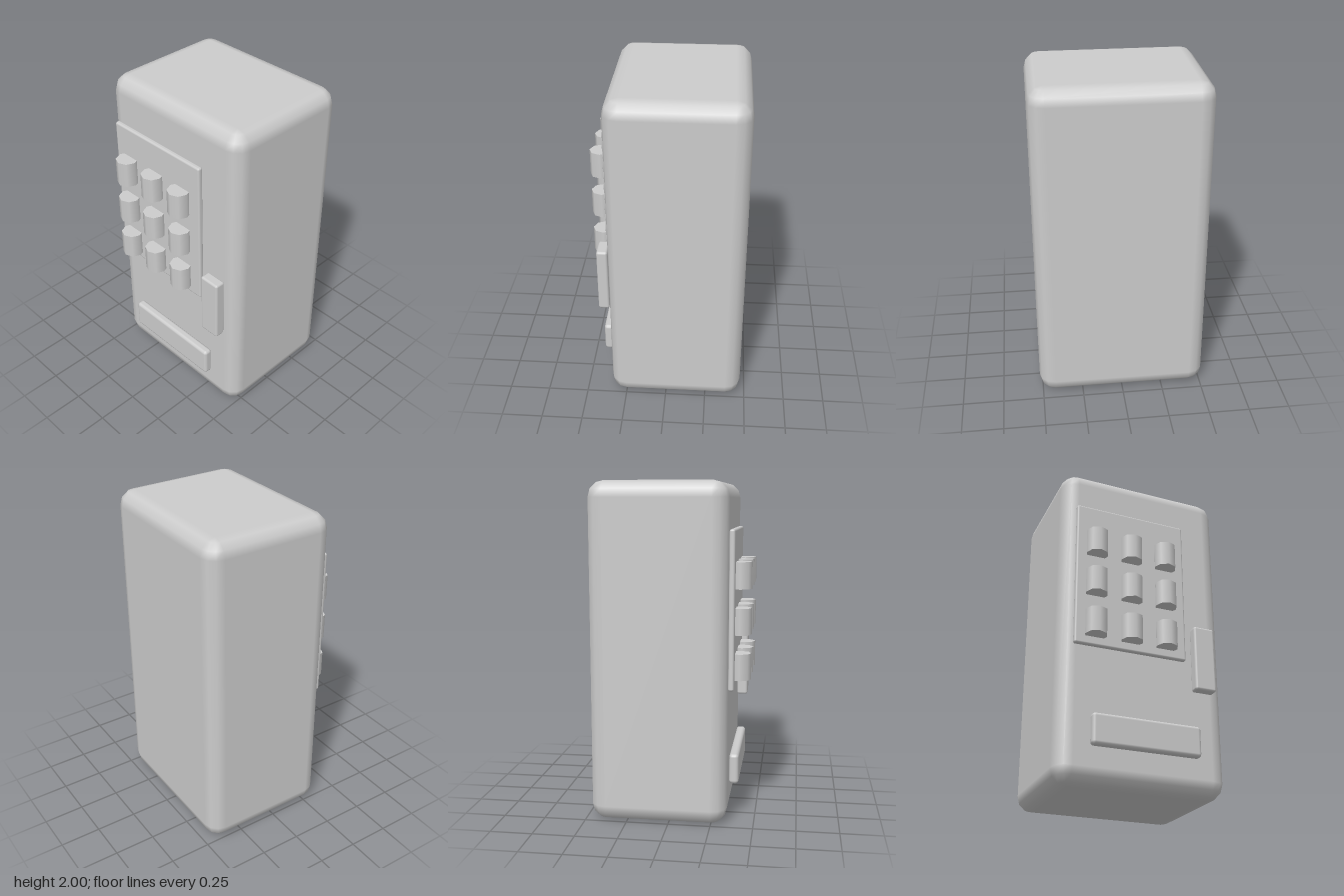
import * as THREE from 'three';

const grey = new THREE.MeshStandardMaterial({ color: 0xcccccc });
grey.name = 'grey';

// Box with rounded edges, given by its extents; three facets per rounded edge.
function roundedBox([x0, x1], [y0, y1], [z0, z1], r, seg = 3) {
  const hx = (x1 - x0) / 2 - r, hy = (y1 - y0) / 2 - r, hz = (z1 - z0) / 2 - r;
  const pos = [], nor = [], index = [];
  const n = 4 * (seg + 1), rows = 2 * (seg + 1);
  // horizontal loops from bottom to top, each made of four corner arcs
  for (let j = 0; j < rows; j++) {
    const upper = j > seg;
    const lat = (upper ? j - seg - 1 : j - seg) / seg * Math.PI / 2;
    for (let c = 0; c < 4; c++) {
      const sx = c === 0 || c === 3 ? 1 : -1, sz = c < 2 ? 1 : -1;
      for (let i = 0; i <= seg; i++) {
        const a = (c + i / seg) * Math.PI / 2;
        const nx = Math.cos(lat) * Math.cos(a), ny = Math.sin(lat), nz = Math.cos(lat) * Math.sin(a);
        nor.push(nx, ny, nz);
        pos.push(sx * hx + r * nx, (upper ? hy : -hy) + r * ny, sz * hz + r * nz);
      }
    }
  }
  for (let j = 0; j < rows - 1; j++) {
    for (let i = 0; i < n; i++) {
      const a = j * n + i, b = j * n + (i + 1) % n;
      index.push(a, a + n, b, b, a + n, b + n);
    }
  }
  // flat bottom and top
  const k = seg + 1, t = (rows - 1) * n;
  index.push(0, k, 2 * k, 0, 2 * k, 3 * k);
  index.push(t, t + 2 * k, t + k, t, t + 3 * k, t + 2 * k);
  const g = new THREE.BufferGeometry();
  g.setAttribute('position', new THREE.Float32BufferAttribute(pos, 3));
  g.setAttribute('normal', new THREE.Float32BufferAttribute(nor, 3));
  g.setIndex(index);
  g.translate((x0 + x1) / 2, (y0 + y1) / 2, (z0 + z1) / 2);
  return g;
}

export function createModel() {
  const model = new THREE.Group();
  model.name = 'vendingMachine';
  const add = (name, geometry, parent = model) => {
    const mesh = new THREE.Mesh(geometry, grey);
    mesh.name = name;
    parent.add(mesh);
    return mesh;
  };

  // Cabinet and the fittings on its front
  add('cabinet', roundedBox([-0.518, 0.518], [0, 2], [-0.47, 0.343], 0.095));
  add('displayPanel', roundedBox([-0.442, 0.26], [0.8, 1.727], [0.343, 0.376], 0.012));
  add('coinPanel', roundedBox([0.302, 0.435], [0.615, 1.022], [0.345, 0.412], 0.014));
  add('dispenserTray', roundedBox([-0.332, 0.328], [0.207, 0.39], [0.345, 0.402], 0.02));

  // Three rows of three cans
  const cans = new THREE.Group();
  cans.name = 'cans';
  model.add(cans);
  const canGeometry = new THREE.CylinderGeometry(0.067, 0.067, 0.156, 8);
  for (const y of [0.929, 1.195, 1.462]) {
    for (const x of [-0.321, -0.099, 0.123]) {
      add('can', canGeometry, cans).position.set(x, y, 0.402);
    }
  }
  return model;
}
